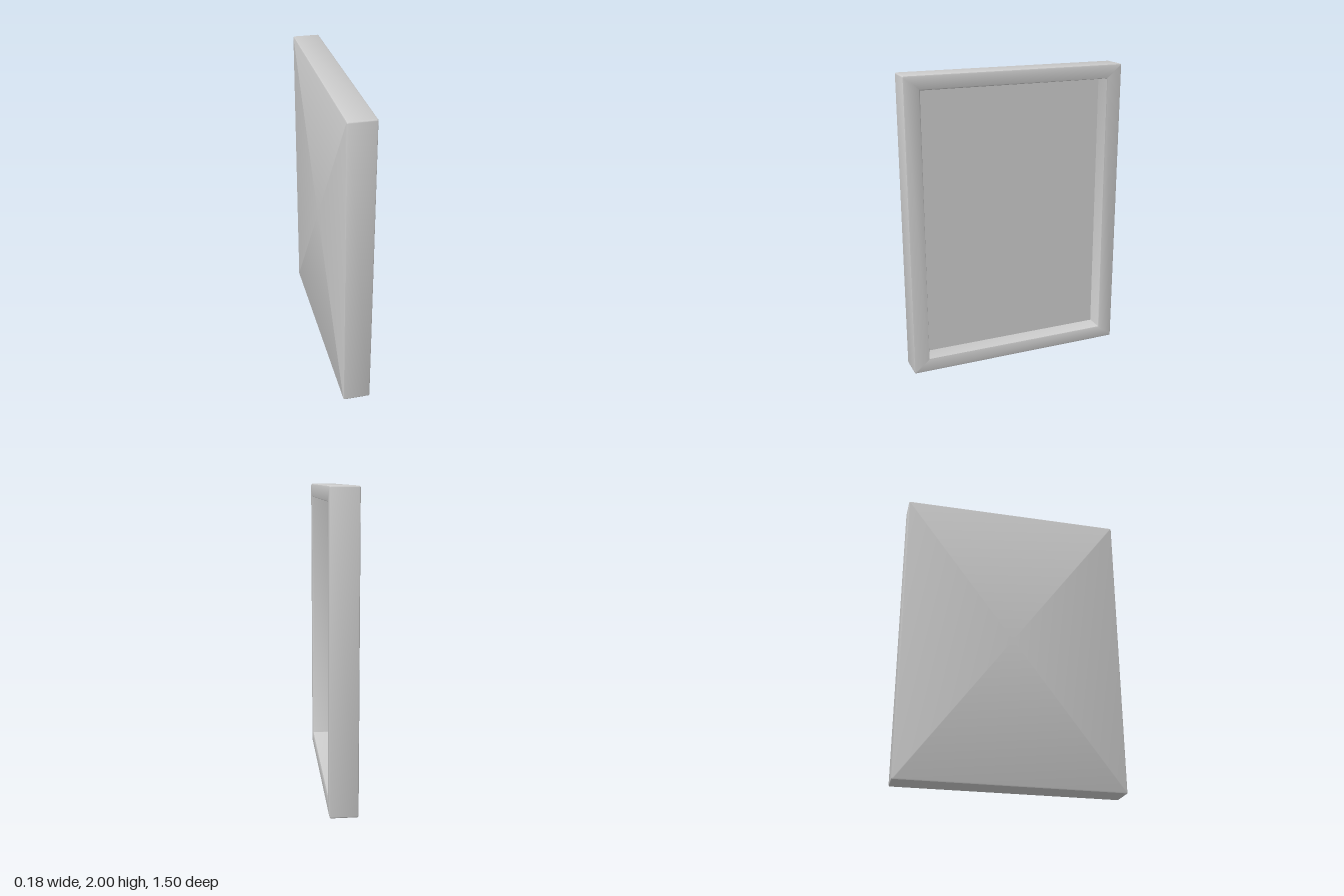
import * as THREE from 'three';
import { toCreasedNormals } from 'three/addons/utils/BufferGeometryUtils.js';

const HEIGHT = 2, WIDTH = 1.5, CORNER_STEPS = 3;

// One rounded rectangle in the plane x, running from +z towards +y
function ring(x, insetY, insetZ, radius) {
  const points = [];
  const cy = HEIGHT / 2 - insetY - radius, cz = WIDTH / 2 - insetZ - radius;
  for (let corner = 0; corner < 4; corner++) {
    const sz = corner === 0 || corner === 3 ? 1 : -1;
    const sy = corner < 2 ? 1 : -1;
    for (let i = 0; i <= CORNER_STEPS; i++) {
      const a = (corner + i / CORNER_STEPS) * Math.PI / 2;
      points.push([x, HEIGHT / 2 + sy * cy + radius * Math.sin(a), sz * cz + radius * Math.cos(a)]);
    }
  }
  return points;
}

// Skin consecutive rings and close both ends with a fan
function skinRings(rings) {
  const n = rings[0].length, index = [];
  const positions = rings.flat(2);
  for (let r = 0; r < rings.length - 1; r++) {
    for (let i = 0; i < n; i++) {
      const j = (i + 1) % n;
      const a = r * n + i, b = r * n + j, c = a + n, d = b + n;
      index.push(a, c, b, b, c, d);
    }
  }
  const first = positions.length / 3, last = first + 1;
  positions.push(rings[0][0][0], HEIGHT / 2, 0, rings.at(-1)[0][0], HEIGHT / 2, 0);
  const end = (rings.length - 1) * n;
  for (let i = 0; i < n; i++) {
    const j = (i + 1) % n;
    index.push(first, i, j, last, end + j, end + i);
  }
  const geometry = new THREE.BufferGeometry();
  geometry.setAttribute('position', new THREE.Float32BufferAttribute(positions, 3));
  geometry.setIndex(index);
  return toCreasedNormals(geometry, 0.6);
}

export function createModel() {
  const group = new THREE.Group();
  group.name = 'recessedPanel';
  const material = new THREE.MeshStandardMaterial({ color: 0xcccccc });

  // Profile from the back face, around the rim and down to the recess floor:
  // x, inset in y, inset in z, corner radius
  const profile = [
    [-0.09, 0.01, 0.01, 0.004],
    [-0.087, 0.003, 0.003, 0.008],
    [-0.08, 0, 0, 0.01],
    [0.08, 0, 0, 0.01],
    [0.087, 0.003, 0.003, 0.008],
    [0.09, 0.01, 0.01, 0.004],
    [0.09, 0.085, 0.099, 0.002],
    [0.087, 0.091, 0.105, 0.002],
    [0.08, 0.094, 0.108, 0.002],
    [-0.027, 0.094, 0.108, 0.002],
  ];
  const frame = new THREE.Mesh(skinRings(profile.map((p) => ring(...p))), material);
  frame.name = 'frameWithBackPanel';
  group.add(frame);
  return group;
}
